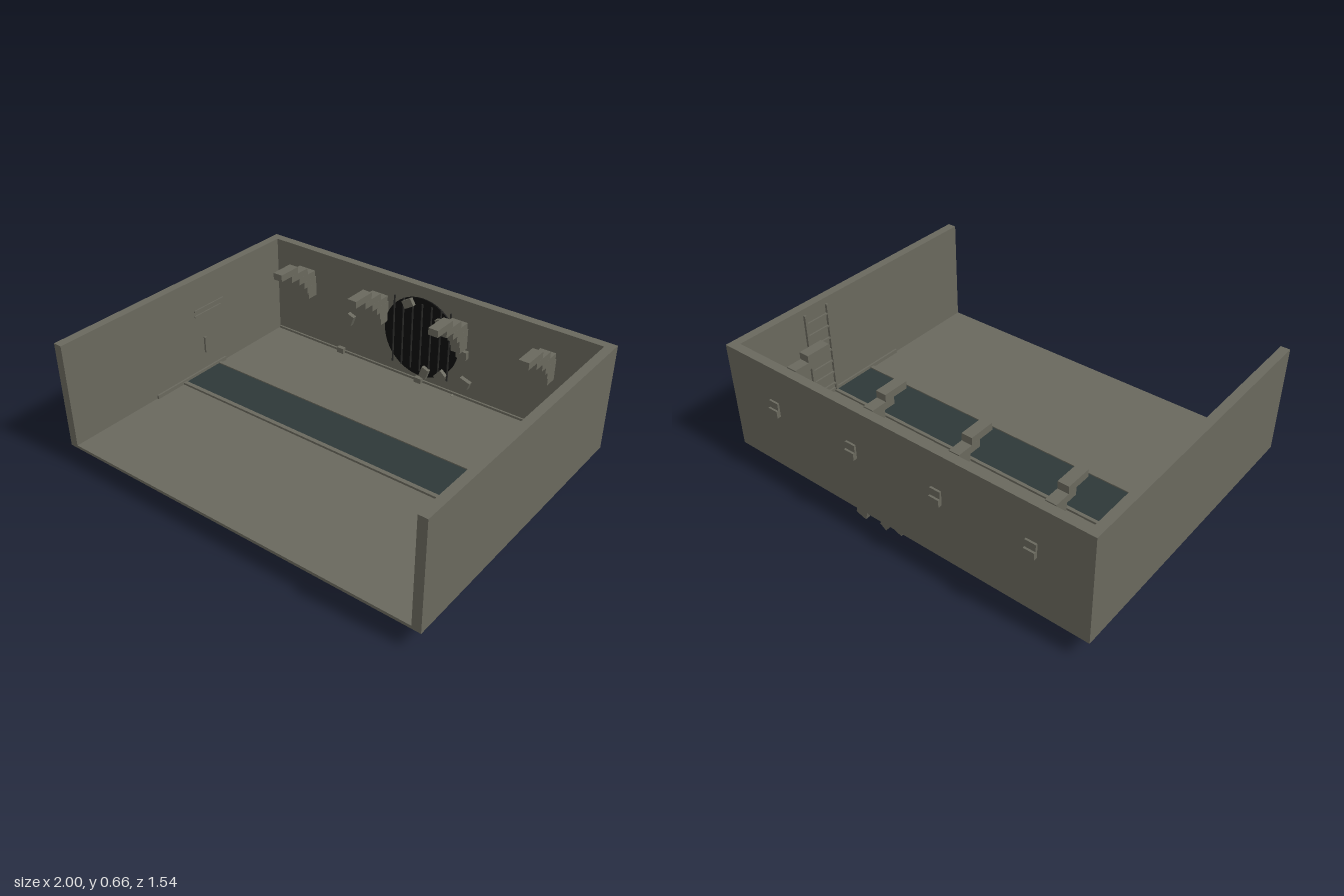
import * as THREE from 'three';

export function createModel() {
  const model = new THREE.Group();
  const mat = (name, color) => {
    const m = new THREE.MeshStandardMaterial({ color });
    m.name = name;
    return m;
  };
  const stone = mat('stone', 0x69685d);
  const water = mat('dark water', 0x2d3838);
  const dark = mat('tunnel black', 0x0d0d0d);
  const iron = mat('iron', 0x2a2a28);

  // box given by its min and max corners
  const box = (name, m, x0, x1, y0, y1, z0, z1, parent = model) => {
    const mesh = new THREE.Mesh(new THREE.BoxGeometry(x1 - x0, y1 - y0, z1 - z0), m);
    mesh.position.set((x0 + x1) / 2, (y0 + y1) / 2, (z0 + z1) / 2);
    mesh.name = name;
    parent.add(mesh);
    return mesh;
  };

  // floor and the three walls
  box('floor', stone, -0.955, 0.955, 0.115, 0.13, -0.71, 0.77);
  box('backWall', stone, -0.955, 0.955, 0.115, 0.67, -0.755, -0.71);
  box('rightWall', stone, -1, -0.955, 0.115, 0.67, -0.755, 0.77);
  box('leftWall', stone, 0.955, 1, 0.115, 0.67, -0.755, 0.77);

  // low skirting along the back and the channel ends
  box('backSkirting', stone, -0.95, 0.95, 0.13, 0.142, -0.71, -0.7);
  for (const s of [-1, 1]) {
    const x = s * 0.95;
    box('channelEndTrim', stone, x - 0.005, x + 0.005, 0.13, 0.15, -0.25, 0.25);
  }

  // water channel between two curbs
  box('water', water, -0.945, 0.945, 0.13, 0.135, -0.19, 0.05);
  box('rearCurb', stone, -0.945, 0.945, 0.13, 0.141, -0.207, -0.19);
  box('frontCurb', stone, -0.945, 0.945, 0.13, 0.141, 0.05, 0.072);

  // stepped rib arches: six blocks on a quarter curve, piercing the back wall
  const ends = [-0.775, -0.765, -0.74, -0.7, -0.64, -0.56];
  for (const x of [-0.716, -0.24, 0.235, 0.711]) {
    const rib = new THREE.Group();
    rib.name = 'ribArch';
    ends.forEach((z, i) => {
      const y = 0.415 + i * 0.0368;
      box('ribBlock', stone, x - 0.027, x + 0.027, y, y + 0.0366, z, z + 0.13, rib);
    });
    model.add(rib);
  }

  // round tunnel mouth with its grate
  const mouth = new THREE.Mesh(new THREE.CylinderGeometry(0.221, 0.221, 0.01, 48), dark);
  mouth.rotation.x = Math.PI / 2;
  mouth.position.set(-0.005, 0.386, -0.707);
  mouth.name = 'tunnelMouth';
  model.add(mouth);
  for (let i = -3; i <= 3; i++) {
    const bar = new THREE.Mesh(new THREE.CylinderGeometry(0.005, 0.005, 0.385, 8), iron);
    bar.position.set(i * 0.056 - 0.003, 0.387, -0.702);
    bar.name = 'grateBar';
    model.add(bar);
  }

  // loose bricks around the tunnel: x, y, tilt in degrees
  const bricks = [
    [-0.505, 0.13, 90], [-0.445, 0.353, 70], [-0.29, 0.515, 60], [-0.08, 0.565, 32],
    [0.12, 0.517, 20], [0.248, 0.385, 0], [0.274, 0.228, -18], [0.13, 0.217, 50],
    [0.035, 0.2, 72], [0.0, 0.128, 90], [0.22, 0.1, -36], [0.04, 0.066, -68],
    [0.125, 0.046, -54], [0.274, 0.034, 17],
  ];
  for (const [x, y, deg] of bricks) {
    const brick = new THREE.Mesh(new THREE.BoxGeometry(0.06, 0.042, 0.024), stone);
    brick.position.set(x, y, -0.693);
    brick.rotation.z = THREE.MathUtils.degToRad(deg);
    brick.name = 'looseBrick';
    model.add(brick);
  }

  // ladder on the left wall
  const ladder = new THREE.Group();
  ladder.name = 'ladder';
  for (const z of [-0.335, -0.195]) box('ladderRail', stone, 0.938, 0.951, 0.13, 0.64, z - 0.006, z + 0.006, ladder);
  for (let i = 0; i < 7; i++) {
    const y = 0.18 + i * 0.068;
    box('ladderRung', stone, 0.94, 0.949, y - 0.005, y + 0.005, -0.335, -0.195, ladder);
  }
  model.add(ladder);

  // shallow fittings on the right wall
  box('wallStrip', stone, -0.956, -0.948, 0.495, 0.503, -0.26, -0.05);
  box('wallStrip', stone, -0.956, -0.948, 0.465, 0.473, -0.24, -0.05);
  box('wallPost', stone, -0.956, -0.944, 0.24, 0.33, -0.116, -0.104);

  return model;
}
